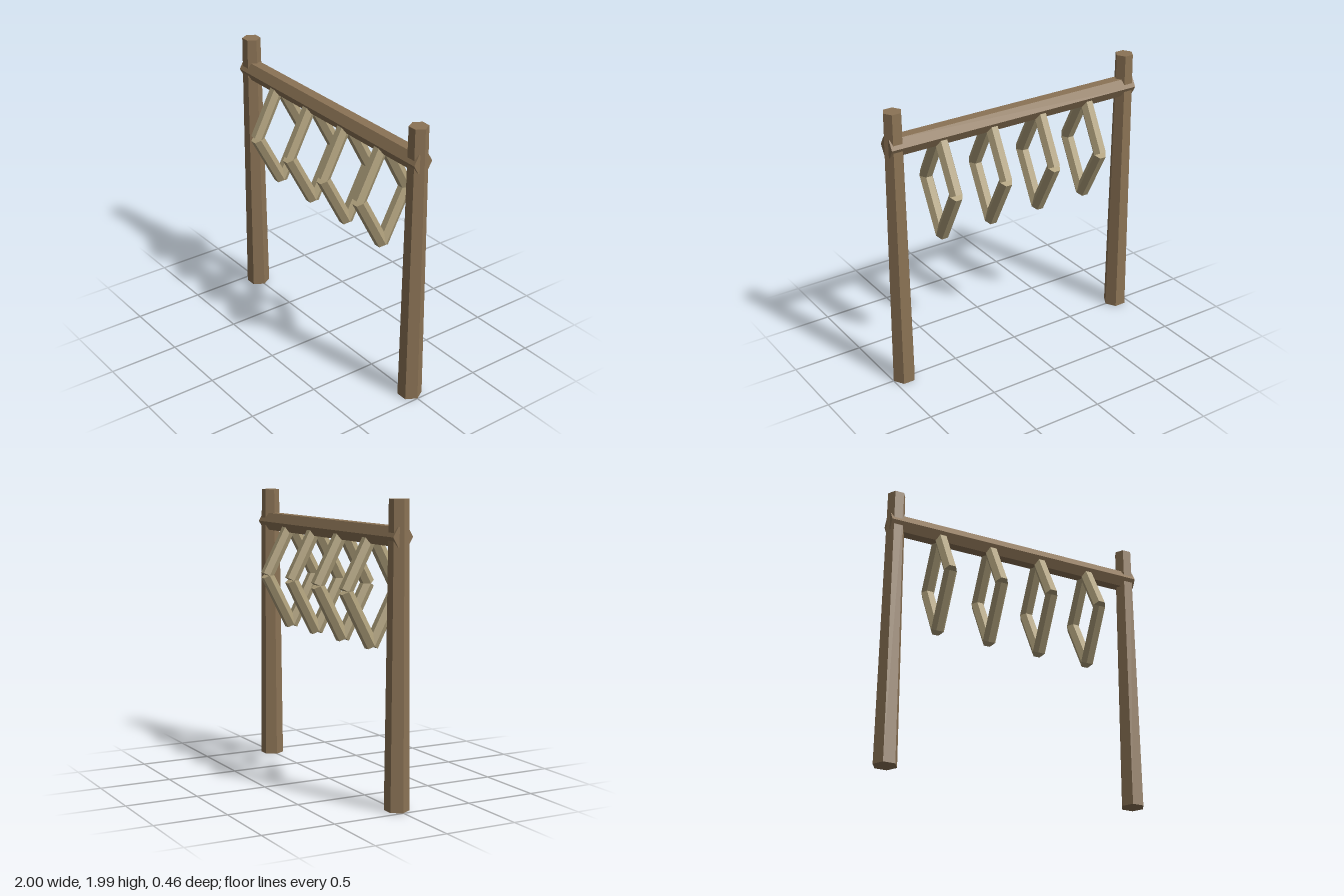
import * as THREE from 'three';

const brownWood = new THREE.MeshStandardMaterial({ color: 0x8b7355, flatShading: true });
brownWood.name = 'brown wood';
const paleWood = new THREE.MeshStandardMaterial({ color: 0xad9e7a, flatShading: true });
paleWood.name = 'pale wood';

// Six-sided timber along y, with corners pointing to +x and -x
function timber(name, rTop, rBottom, length, material) {
  const geometry = new THREE.CylinderGeometry(rTop, rBottom, length, 6).rotateY(Math.PI / 6);
  const mesh = new THREE.Mesh(geometry, material);
  mesh.name = name;
  return mesh;
}

// Diamond of four bars in the yz plane
function hangingDiamond(halfWidth, halfHeight) {
  const diamond = new THREE.Group();
  diamond.name = 'hangingDiamond';
  const length = Math.hypot(halfWidth, halfHeight);
  const tilt = Math.atan2(halfWidth, halfHeight);
  for (const sy of [1, -1]) {
    for (const sz of [1, -1]) {
      const bar = timber('diamondBar', 0.047, 0.047, length, paleWood);
      bar.position.set(0, sy * halfHeight / 2, sz * halfWidth / 2);
      bar.rotation.x = -sy * sz * tilt;
      diamond.add(bar);
    }
  }
  return diamond;
}

export function createModel() {
  const model = new THREE.Group();
  model.name = 'hangingDiamondFrame';
  const beamY = 1.755;

  // Tapered posts
  for (const side of [1, -1]) {
    const post = timber(side > 0 ? 'leftPost' : 'rightPost', 0.064, 0.083, 1.99, brownWood);
    post.position.set(side * 0.916, 0.995, 0);
    model.add(post);
  }

  // Crossbeam, with corners pointing to +z and -z
  const beam = new THREE.Mesh(
    new THREE.CylinderGeometry(0.072, 0.072, 1.935, 6).rotateZ(Math.PI / 2), brownWood);
  beam.name = 'crossbeam';
  beam.position.y = beamY;
  model.add(beam);

  // Four diamonds hung from the beam
  for (let i = 0; i < 4; i++) {
    const diamond = hangingDiamond(0.193, 0.366);
    diamond.position.set((i - 1.5) * 0.387, beamY - 0.366, 0);
    model.add(diamond);
  }
  return model;
}
